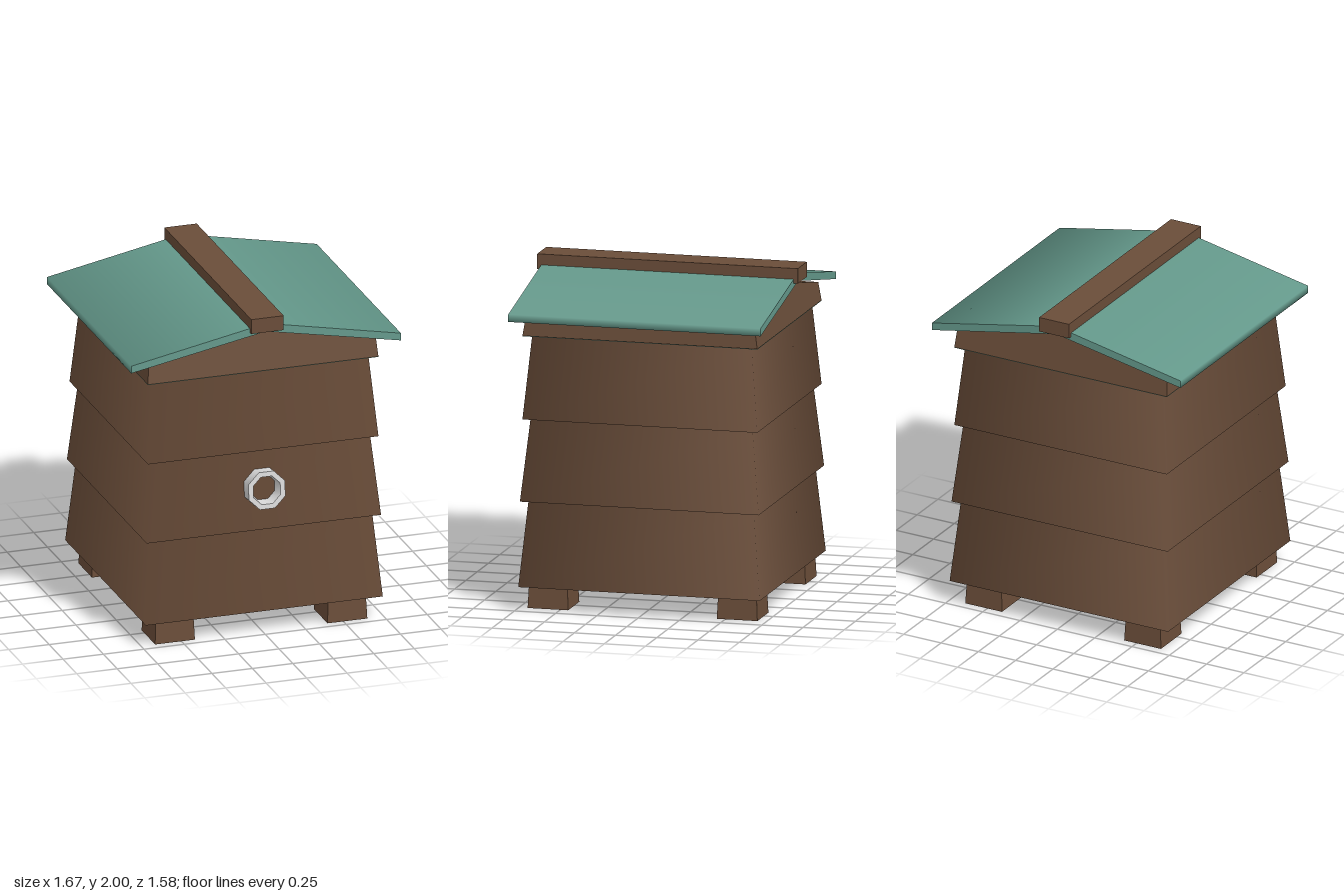
import * as THREE from 'three';
import { toCreasedNormals } from 'three/addons/utils/BufferGeometryUtils.js';

const mat = (name, color, extra = {}) =>
  Object.assign(new THREE.MeshStandardMaterial({ color, ...extra }), { name });

// Square tapered block or open shell, standing on y = 0
function frustum(halfTop, halfBottom, height, open) {
  const r = Math.SQRT2;
  const g = new THREE.CylinderGeometry(halfTop * r, halfBottom * r, height, 4, 1, open);
  return g.rotateY(Math.PI / 4).translate(0, height / 2, 0);
}

// Surface swept along z from an outline, with softened corners
function sweptStrip(outline, halfZ) {
  const n = outline.length, pos = [], nor = [], idx = [];
  const normals = outline.map((p, i) => {
    const q = outline[(i + 1) % n];
    return new THREE.Vector2(q[1] - p[1], p[0] - q[0]).normalize();
  });
  outline.forEach((p, i) => {
    const m = normals[i].clone().add(normals[(i + n - 1) % n]).normalize();
    for (const z of [halfZ, -halfZ]) {
      pos.push(p[0], p[1], z);
      nor.push(m.x, m.y, 0);
    }
    const a = 2 * i, b = 2 * ((i + 1) % n);
    idx.push(a, a + 1, b, b, a + 1, b + 1);
  });
  const g = new THREE.BufferGeometry();
  g.setAttribute('position', new THREE.Float32BufferAttribute(pos, 3));
  g.setAttribute('normal', new THREE.Float32BufferAttribute(nor, 3));
  g.setIndex(idx);
  return g;
}

const toShape = (points) => new THREE.Shape(points.map(([x, y]) => new THREE.Vector2(x, y)));

export function createModel() {
  const group = new THREE.Group();
  const wood = mat('brownWood', 0x6a4d39, { side: THREE.DoubleSide });
  const green = mat('greenPaint', 0x659a8c, { side: THREE.DoubleSide });
  const grey = mat('lightGrey', 0xdadada, { side: THREE.DoubleSide });

  const add = (name, geometry, material, x = 0, y = 0, z = 0) => {
    const mesh = new THREE.Mesh(geometry, material);
    mesh.name = name;
    mesh.position.set(x, y, z);
    group.add(mesh);
    return mesh;
  };
  const underside = (half, y) =>
    add('tierUnderside', new THREE.PlaneGeometry(2 * half, 2 * half).rotateX(Math.PI / 2), green, 0, y, 0);

  // Three overlapping hive tiers, the lowest open underneath
  const tiers = [
    [0.14, 0.65, 0.732, 0.683],
    [0.65, 1.14, 0.724, 0.673],
    [1.14, 1.64, 0.712, 0.665],
  ];
  tiers.forEach(([y0, y1, bottom, top], i) => {
    add('hiveTier', frustum(top, bottom, y1 - y0, true), wood, 0, y0, 0);
    if (i > 0) underside(bottom, y0);
  });

  // Gabled top tier, leaning in at front and back
  const gable = new THREE.ExtrudeGeometry(
    toShape([[-0.712, 1.64], [0.712, 1.64], [0.702, 1.75], [0, 1.888], [-0.702, 1.75]]),
    { depth: 2, bevelEnabled: false }).translate(0, 0, -1);
  const p = gable.attributes.position;
  for (let i = 0; i < p.count; i++) {
    p.setZ(i, Math.sign(p.getZ(i)) * (0.712 - 0.16 * (p.getY(i) - 1.64)));
  }
  gable.computeVertexNormals();
  add('gable', gable, wood);
  underside(0.712, 1.637);

  // Pitched roof with flat gable ends
  const roof = [[-0.833, 1.745], [0, 1.905], [0.833, 1.745], [0.833, 1.79], [0, 1.955], [-0.833, 1.79]];
  add('roof', sweptStrip(roof, 0.765), green);
  const end = new THREE.ShapeGeometry(toShape(roof));
  add('roofFrontEnd', end, green, 0, 0, 0.765);
  add('roofBackEnd', end.clone().rotateY(Math.PI), green, 0, 0, -0.765);

  // Ridge beam
  add('ridgeBeam', new THREE.BoxGeometry(0.2, 0.09, 1.58), wood, 0, 1.955, 0);

  // Feet, slightly wider at the ground
  const foot = frustum(0.115, 0.123, 0.17, false).toNonIndexed();
  foot.computeVertexNormals();
  for (const x of [-0.54, 0.525]) {
    for (const z of [-0.572, 0.575]) add('foot', foot, wood, x, 0, z);
  }

  // Octagonal entrance ring, square to the sloping wall
  const profile = [[0.122, -0.02], [0.122, 0.085], [0.09, 0.085], [0.078, -0.02]]
    .map(([x, y]) => new THREE.Vector2(x, y));
  const ring = toCreasedNormals(new THREE.LatheGeometry(profile, 8, Math.PI / 8), 0.9);
  add('entranceRing', ring, grey, 0, 0.905, 0.695).rotation.x = Math.PI / 2 - 0.1;

  return group;
}
